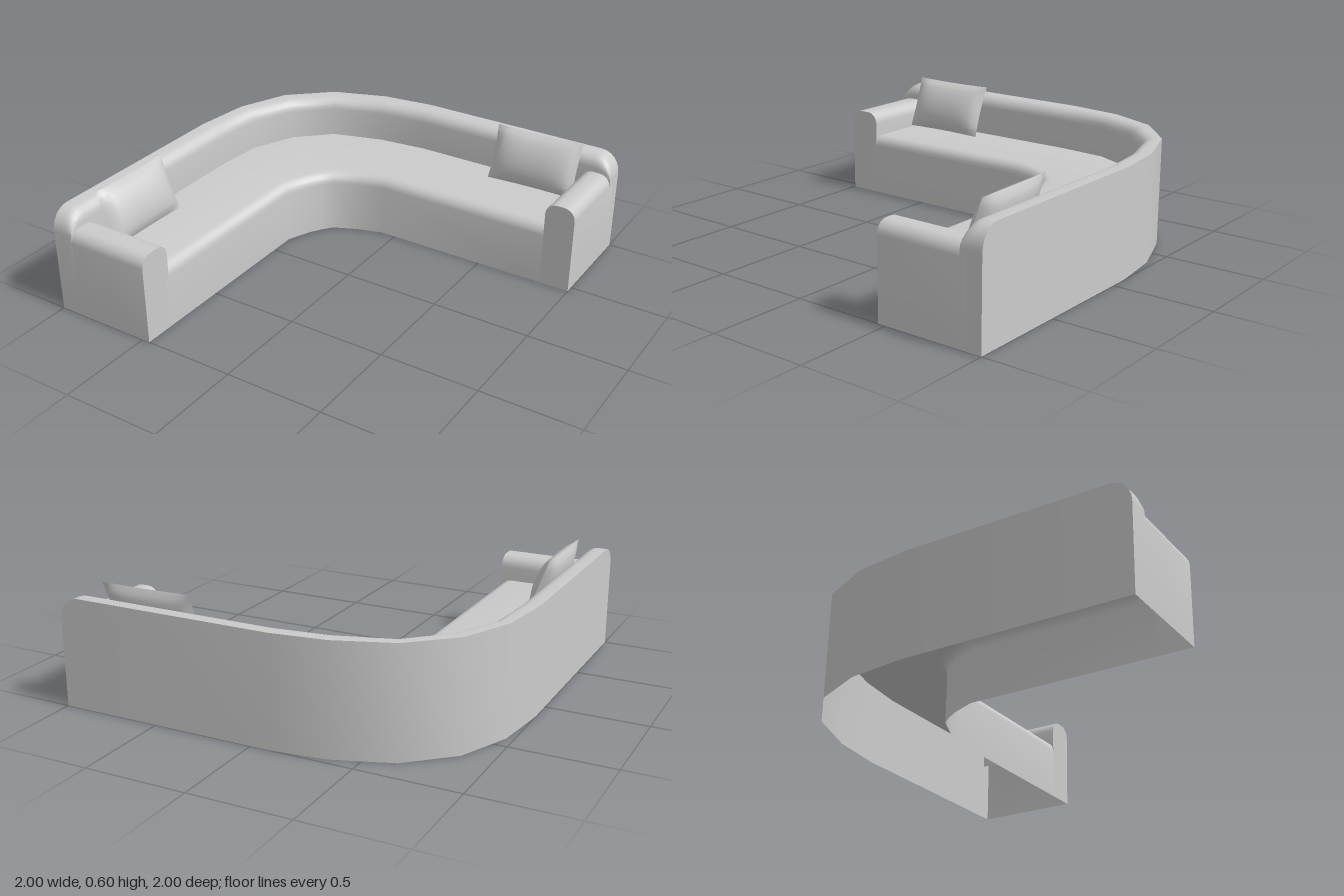
import * as THREE from 'three';
import { mergeGeometries, toCreasedNormals } from 'three/addons/utils/BufferGeometryUtils.js';

const material = new THREE.MeshStandardMaterial({ color: 0xcccccc, side: THREE.DoubleSide });
const SEAT_Y = 0.325, BACK_Y = 0.54, ARM_Y = 0.455;

// Plan of the bend as [x, z]: outer wall, inside of the backrest, seat front
const OUTER = [[-0.1, -1], [-0.37, -0.965], [-0.645, -0.865], [-0.855, -0.675], [-0.965, -0.42], [-1, -0.13]];
const INSIDE = [[-0.08, -0.89], [-0.335, -0.86], [-0.595, -0.78], [-0.765, -0.62], [-0.87, -0.39], [-0.89, -0.13]];
const FRONT = [[-0.08, -0.46], [-0.21, -0.42], [-0.33, -0.365], [-0.37, -0.315], [-0.41, -0.25], [-0.46, -0.13]];

// Skin a list of rings, each an equal-length list of [x, y, z]
function loft(name, rings) {
  const n = rings[0].length, index = [];
  for (let i = 0; i < rings.length - 1; i++) {
    for (let j = 0; j < n - 1; j++) {
      const a = i * n + j, b = a + n;
      index.push(a, b, a + 1, b, b + 1, a + 1);
    }
  }
  const geo = new THREE.BufferGeometry();
  geo.setAttribute('position', new THREE.Float32BufferAttribute(rings.flat(2), 3));
  geo.setIndex(index);
  const mesh = new THREE.Mesh(toCreasedNormals(geo, 0.75), material);
  mesh.name = name;
  return mesh;
}

// Quarter round as [sin, cos] pairs
const quarter = (steps) => Array.from({ length: steps + 1 }, (_, i) => {
  const a = (i / steps) * Math.PI / 2;
  return [Math.sin(a), Math.cos(a)];
});

const dropToFloor = (ring) => ring.map(([x, , z]) => [x, 0, z]);

// Point at distance d from plan point p towards q
function towards(p, q, d, y) {
  const l = Math.hypot(q[0] - p[0], q[1] - p[1]);
  return [p[0] + (q[0] - p[0]) * d / l, y, p[1] + (q[1] - p[1]) * d / l];
}

// Backrest: upright outer wall, rounded inner top edge, rounded ends
function backrest() {
  const ring = (o, b, k) => {
    const r = 0.06, low = 0.43;
    const y = (v) => low + (v - low) * k;
    return [
      [o[0], 0, o[1]],
      [o[0], y(BACK_Y), o[1]],
      ...quarter(5).map(([s, c]) => towards(b, o, r * (1 - s), y(BACK_Y - r * (1 - c)))),
      [b[0], SEAT_Y, b[1]],
    ];
  };
  const ends = quarter(6).map(([s, c]) => ({ t: 0.9 + 0.1 * s, c }));
  const rings = [
    ...[...ends].reverse().map(({ t, c }) => ring([t, -1], [t, -0.89], c)),
    ...OUTER.map((o, i) => ring(o, INSIDE[i], 1)),
    ...ends.map(({ t, c }) => ring([-1, t], [-0.89, t], c)),
  ];
  return loft('backrest', [dropToFloor(rings[0]), ...rings, dropToFloor(rings[rings.length - 1])]);
}

// Seat: flat top, rounded front edge, front wall down to the floor
function seat() {
  const ring = (b, f) => {
    const r = 0.055;
    return [
      [b[0], SEAT_Y, b[1]],
      ...quarter(5).map(([s, c]) => towards(f, b, r * (1 - s), SEAT_Y - r * (1 - c))),
      [f[0], 0, f[1]],
    ];
  };
  return loft('seat', [
    ring([0.85, -0.89], [0.85, -0.46]),
    ...INSIDE.map((b, i) => ring(b, FRONT[i])),
    ring([-0.89, 0.85], [-0.46, 0.85]),
  ]);
}

// Armrest: arched top, flat front; the second one swaps x and z
function armrest(name, inner, swap) {
  const r = 0.06;
  const profile = [
    [1, 0],
    ...quarter(5).reverse().map(([s, c]) => [1 - r * (1 - s), ARM_Y - r * (1 - c)]),
    ...quarter(5).map(([s, c]) => [inner + r * (1 - s), ARM_Y - r * (1 - c)]),
    [inner, SEAT_Y - 0.06],
  ];
  const ring = (d) => {
    const pts = profile.map(([w, y]) => (swap ? [d, y, w] : [w, y, d]));
    return swap ? pts.reverse() : pts;
  };
  return loft(name, [dropToFloor(ring(-0.46)), ring(-0.46), ring(-0.93)]);
}

// Cushion: two puffed sheets that meet in a thin seam
function cushion(name) {
  const w = 0.47, h = 0.285;
  const sheet = (side) => {
    const g = new THREE.PlaneGeometry(w, h, 16, 12);
    const p = g.attributes.position;
    for (let i = 0; i < p.count; i++) {
      const u = p.getX(i) / (w / 2), v = p.getY(i) / (h / 2);
      const puff = Math.pow(Math.max(0, (1 - u ** 4) * (1 - v ** 2)), 0.65);
      p.setXYZ(i, side * p.getX(i) * (1 - 0.03 * (1 - v * v)),
        p.getY(i) * (1 - 0.03 * (1 - u * u)), side * 0.052 * puff);
    }
    g.computeVertexNormals();
    return g;
  };
  const mesh = new THREE.Mesh(mergeGeometries([sheet(1), sheet(-1)]), material);
  mesh.name = name;
  mesh.rotation.order = 'YXZ';
  mesh.rotation.x = -0.36;
  return mesh;
}

export function createModel() {
  const sofa = new THREE.Group();
  sofa.name = 'cornerSofa';
  sofa.add(backrest(), seat());
  sofa.add(armrest('leftArmrest', 0.845, false), armrest('frontArmrest', 0.83, true));

  const left = cushion('leftCushion');
  left.position.set(0.612, 0.465, -0.825);
  left.rotation.y = 0.03;
  const right = cushion('rightCushion');
  right.position.set(-0.82, 0.465, 0.6);
  right.rotation.y = Math.PI / 2;
  sofa.add(left, right);
  return sofa;
}
